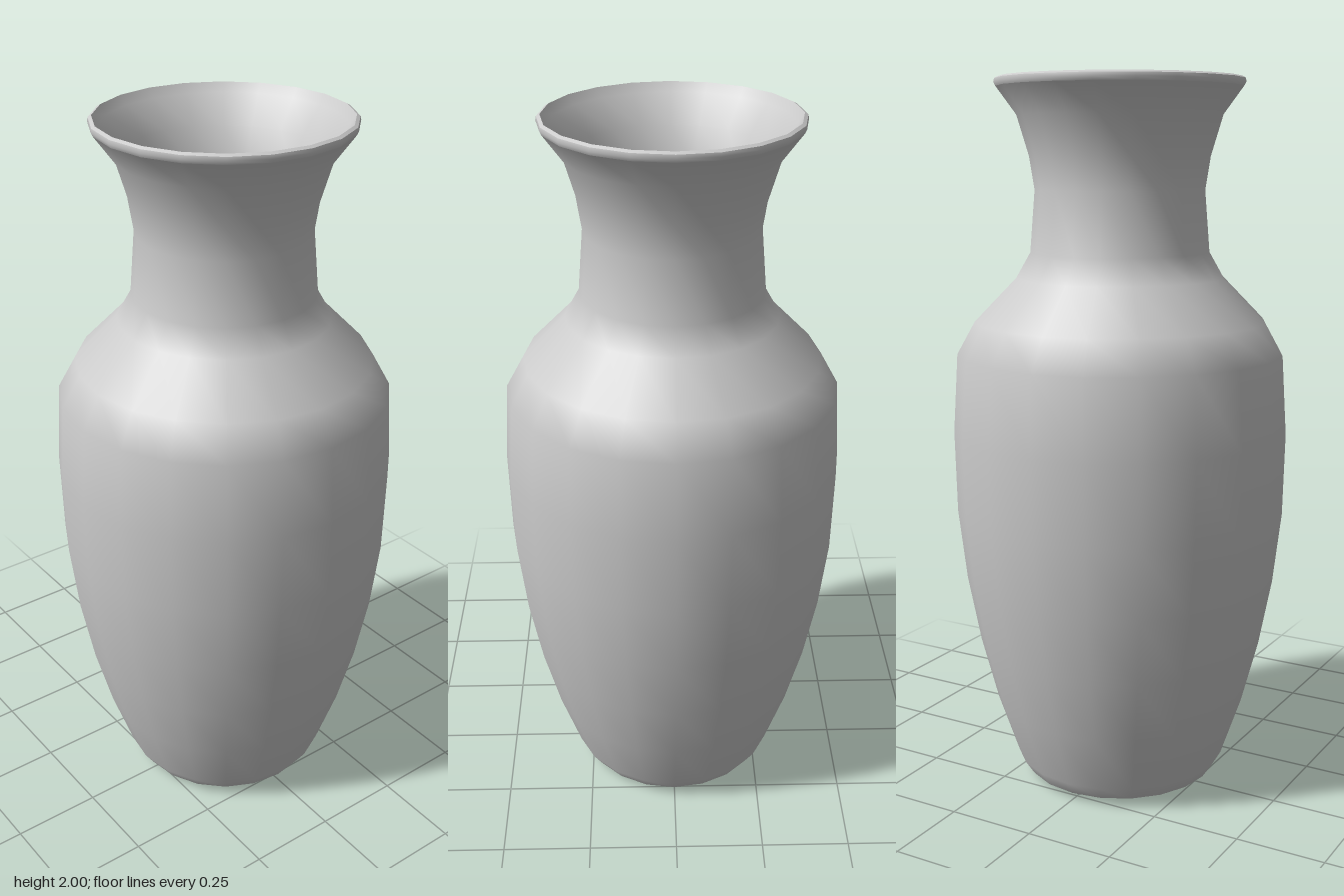
import * as THREE from 'three';

const SIDES = 20;
const WALL = 0.022;

// Outer wall profile [radius, height], bottom to top
const OUTER = [
  [0.275, 0.02], [0.302, 0.06], [0.36, 0.23], [0.407, 0.41], [0.443, 0.6],
  [0.466, 0.8], [0.471, 1.03], [0.457, 1.25], [0.407, 1.34], [0.29, 1.46],
  [0.25, 1.53], [0.236, 1.7], [0.25, 1.79], [0.283, 1.9], [0.338, 1.975],
];

export function createModel() {
  const vase = new THREE.Group();
  vase.name = 'vase';
  const material = new THREE.MeshStandardMaterial({ color: 0xcccccc });

  // Each part is a lathe of its own, so edges between parts stay sharp
  const addLathe = (name, profile) => {
    const points = profile.map(([r, y]) => new THREE.Vector2(r, y));
    const mesh = new THREE.Mesh(new THREE.LatheGeometry(points, SIDES), material);
    mesh.name = name;
    vase.add(mesh);
  };

  // Inner wall runs top to bottom so that it faces the hollow
  const inner = OUTER.slice(1, -1).reverse().map(([r, y]) => [r - WALL, y]);

  addLathe('base', [[0, 0], [0.225, 0]]);
  addLathe('foot', [[0.225, 0], [0.275, 0.02]]);
  addLathe('outerWall', OUTER);
  addLathe('lipEdge', [[0.338, 1.975], [0.343, 1.985], [0.341, 1.995]]);
  addLathe('rim', [[0.341, 1.995], [0.332, 2]]);
  addLathe('innerWall', [[0.332, 2], [0.317, 1.975], ...inner, [0.25, 0.03]]);
  addLathe('innerFloor', [[0.25, 0.03], [0, 0.03]]);

  return vase;
}
